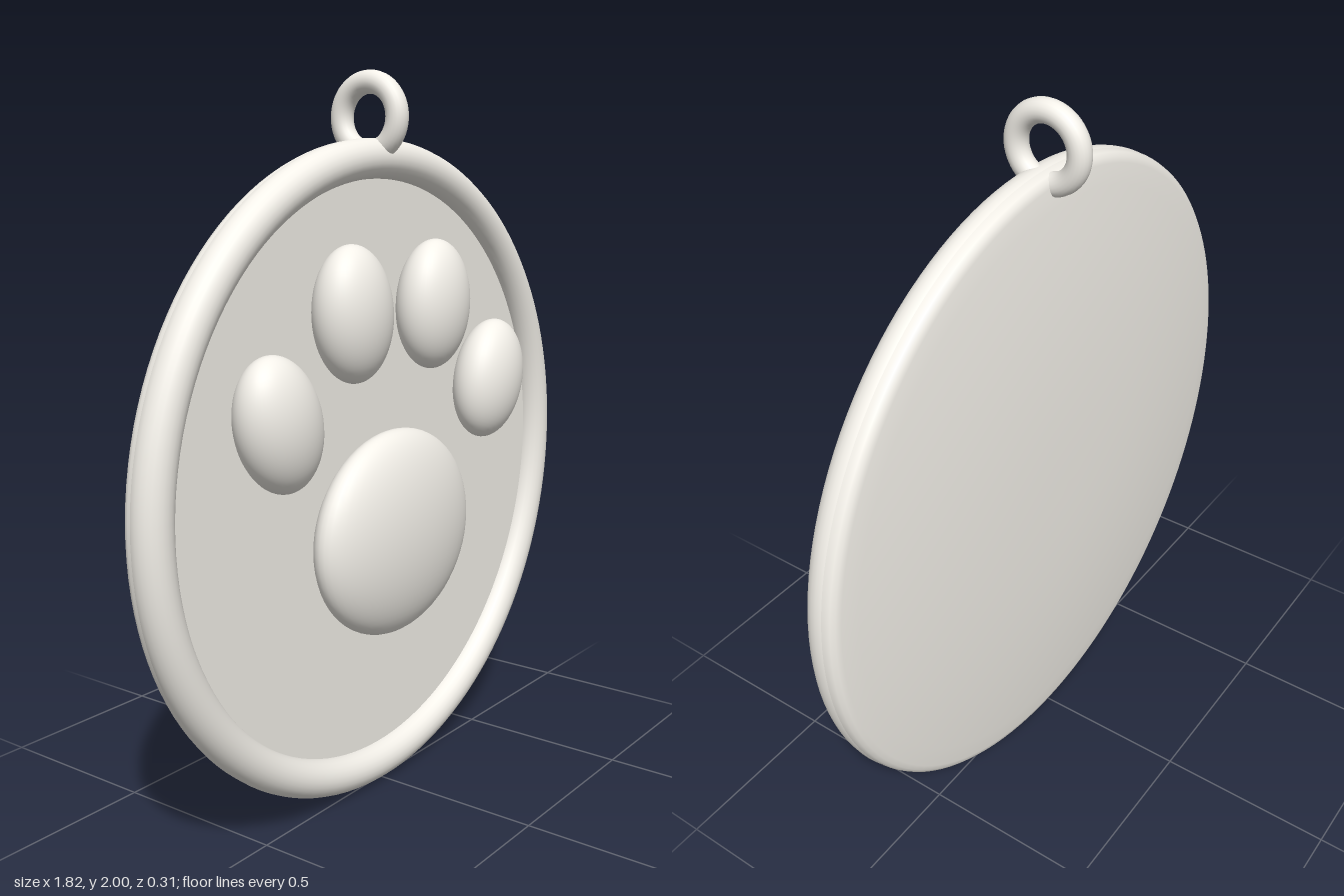
import * as THREE from 'three';

const CENTRE_Y = 0.914;

export function createModel() {
  const model = new THREE.Group();
  model.name = 'pawPendant';
  const material = new THREE.MeshStandardMaterial({ color: 0xf2efe8 });

  const add = (name, geometry, x, y, z) => {
    const mesh = new THREE.Mesh(geometry, material);
    mesh.name = name;
    mesh.position.set(x, y, z);
    model.add(mesh);
    return mesh;
  };

  // Flattened sphere used for the pad and the toes
  const addBean = (name, [x, y, z], [rx, ry, rz], tilt = 0) => {
    const bean = add(name, new THREE.SphereGeometry(1, 48, 32), x, y, z);
    bean.scale.set(rx, ry, rz);
    bean.rotation.z = tilt;
  };

  // Round rim
  add('rim', new THREE.TorusGeometry(0.857, 0.053, 24, 128), 0, CENTRE_Y, -0.011);

  // Flat front face, recessed inside the rim
  add('frontFace', new THREE.CircleGeometry(0.85, 128), 0, CENTRE_Y, -0.01);

  // Shallow domed back with a rounded edge that meets the rim; its axis points along -z
  const backProfile = [[0.907, 0.015], [0.907, 0.036], [0.902, 0.049], [0.892, 0.058]]
    .map(([r, h]) => new THREE.Vector2(r, h));
  for (let i = 0; i <= 16; i++) {
    const t = 1 - i / 16;
    backProfile.push(new THREE.Vector2(0.877 * t, 0.063 + 0.045 * (1 - t ** 2.3)));
  }
  const back = add('domedBack', new THREE.LatheGeometry(backProfile, 128), 0, CENTRE_Y, 0);
  back.rotation.x = -Math.PI / 2;

  // Hanging loop, standing across the rim
  const loop = add('hangingLoop', new THREE.TorusGeometry(0.091, 0.031, 20, 64), 0, 1.878, -0.035);
  loop.rotation.y = Math.PI / 2;

  // Paw: one large pad and two mirrored pairs of toes
  addBean('mainPad', [0, 0.755, 0.05], [0.332, 0.289, 0.106]);
  for (const [side, s] of [['left', 1], ['right', -1]]) {
    addBean(side + 'InnerToe', [s * 0.184, 1.374, 0.05], [0.128, 0.181, 0.092], -s * 0.08);
    addBean(side + 'OuterToe', [s * 0.483, 1.128, 0.05], [0.13, 0.18, 0.092], -s * 0.31);
  }
  return model;
}
